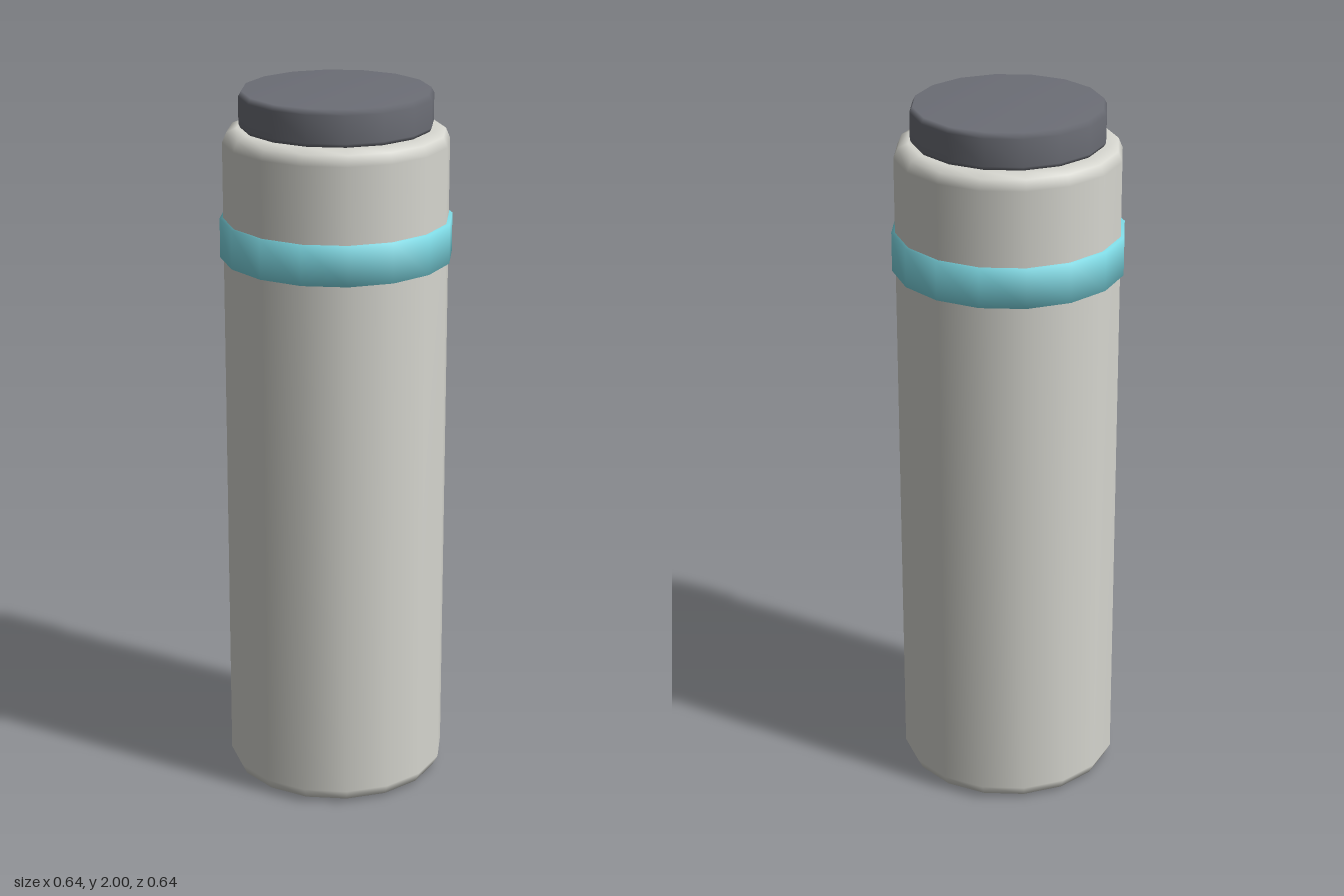
import * as THREE from 'three';

const SIDES = 16;

// Smooth turned part from a bottom-to-top profile of [radius, height]
function turned(name, color, profile) {
  const points = profile.map(([r, y]) => new THREE.Vector2(r, y));
  const mesh = new THREE.Mesh(
    new THREE.LatheGeometry(points, SIDES),
    new THREE.MeshStandardMaterial({ color })
  );
  mesh.name = name;
  return mesh;
}

export function createModel() {
  const group = new THREE.Group();
  group.name = 'bottle';

  // Tall body with rounded foot and shoulder
  group.add(turned('body', 0xd6d6cf, [
    [0, 0], [0.265, 0], [0.295, 0.01], [0.31, 0.04],
    [0.31, 1.86], [0.298, 1.888], [0.27, 1.9], [0, 1.9],
  ]));

  // Raised band around the upper body
  group.add(turned('band', 0x80dde8, [
    [0.26, 1.54], [0.32, 1.54], [0.32, 1.65], [0.26, 1.65],
  ]));

  // Lid with slightly softened edges
  group.add(turned('lid', 0x6c6e76, [
    [0, 1.9], [0.26, 1.9], [0.265, 1.91],
    [0.265, 1.985], [0.257, 2], [0, 2],
  ]));

  return group;
}
